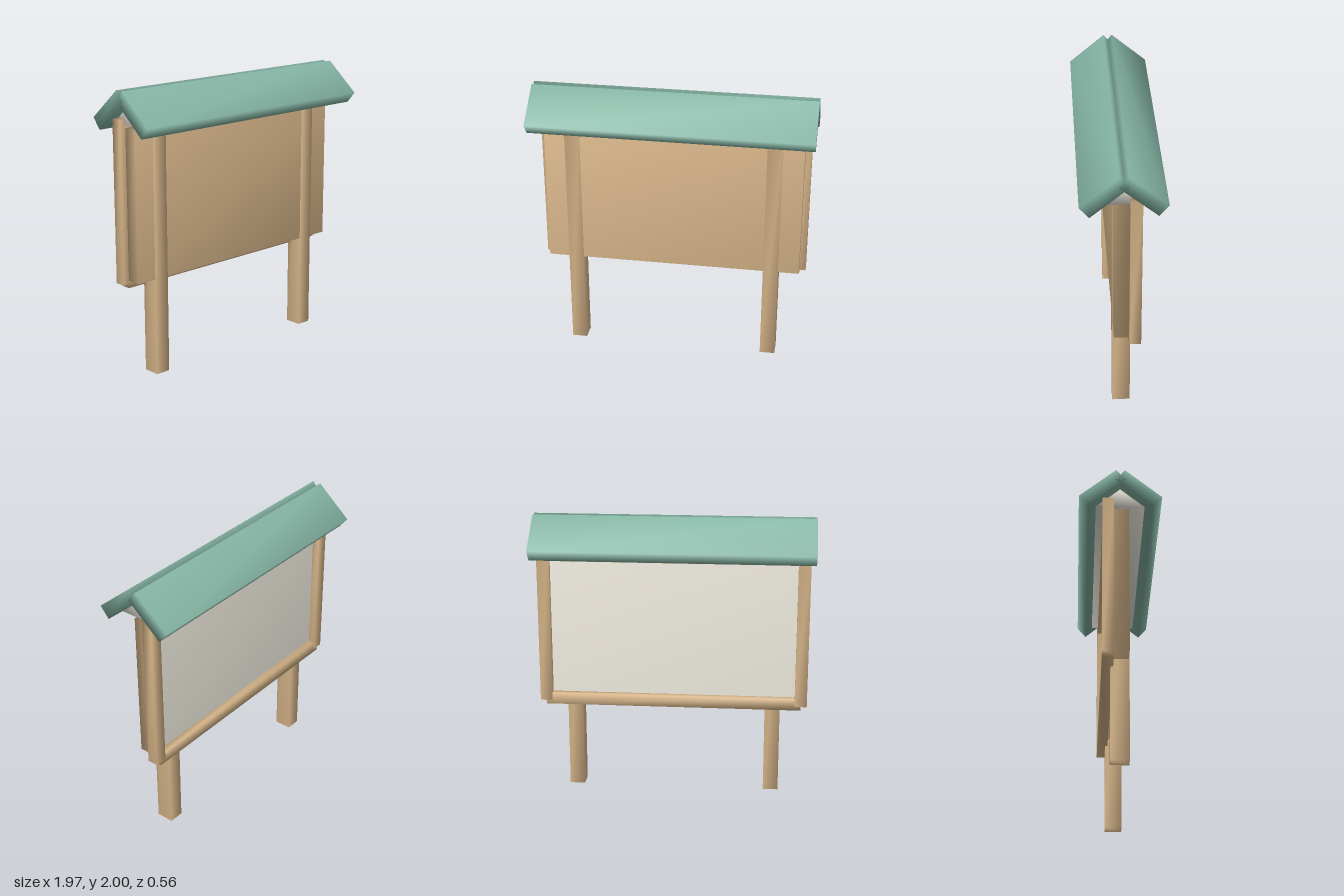
import * as THREE from 'three';
import { mergeVertices } from 'three/addons/utils/BufferGeometryUtils.js';

const wood = new THREE.MeshStandardMaterial({ color: 0xd8b68a });
const green = new THREE.MeshStandardMaterial({ color: 0x86b6a5 });
const pale = new THREE.MeshStandardMaterial({ color: 0xf0ece0 });

// Shares the corners of a geometry so that its shading runs softly over the edges
function soften(geometry) {
  geometry.deleteAttribute('normal');
  geometry.deleteAttribute('uv');
  const merged = mergeVertices(geometry, 1e-4);
  merged.computeVertexNormals();
  return merged;
}

function addPart(parent, name, geometry, material) {
  const mesh = new THREE.Mesh(soften(geometry), material);
  mesh.name = name;
  parent.add(mesh);
  return mesh;
}

// Adds a box given by its min and max corners
function block(parent, name, material, min, max) {
  const size = max.map((v, i) => v - min[i]);
  const mesh = addPart(parent, name, new THREE.BoxGeometry(...size), material);
  mesh.position.set(...max.map((v, i) => (v + min[i]) / 2));
}

export function createModel() {
  const group = new THREE.Group();
  group.name = 'noticeBoard';

  // Backing board, with the pin panel on its rear face
  block(group, 'backingBoard', wood, [-0.91, 0.69, -0.042], [0.91, 1.74, 0.06]);
  block(group, 'pinPanel', pale, [-0.868, 0.72, -0.07], [0.868, 1.69, -0.04]);

  // Frame rails run between the stiles
  block(group, 'bottomRail', wood, [-0.91, 0.638, -0.118], [0.91, 0.72, -0.042]);
  block(group, 'topRail', wood, [-0.91, 1.69, -0.118], [0.91, 1.77, -0.042]);

  for (const side of [-1, 1]) {
    const label = side > 0 ? 'left' : 'right';

    // Square post, standing almost flush with the board
    const postX = side * 0.71;
    block(group, label + 'Post', wood, [postX - 0.054, 0, -0.06], [postX + 0.054, 1.74, 0.064]);

    // Upright frame stile
    const stileX = side * 0.911;
    block(group, label + 'Stile', wood, [stileX - 0.043, 0.665, -0.12], [stileX + 0.043, 1.8, -0.043]);
  }

  // Triangular gable core under the roof
  const triangle = new THREE.Shape();
  triangle.moveTo(-0.17, 1.757);
  triangle.lineTo(0.17, 1.757);
  triangle.lineTo(0, 1.91);
  triangle.closePath();
  const gable = addPart(group, 'gable',
    new THREE.ExtrudeGeometry(triangle, { depth: 1.82, bevelEnabled: false }), pale);
  gable.rotation.y = Math.PI / 2;
  gable.position.x = -0.91;

  // Two sloping roof slabs that cross at the ridge and leave a notch on top
  for (const side of [-1, 1]) {
    const slab = addPart(group, side > 0 ? 'frontRoof' : 'rearRoof',
      new THREE.BoxGeometry(1.974, 0.099, 0.326), green);
    slab.position.set(0, 1.857, side * 0.123);
    slab.rotation.x = side * 0.7;
  }

  return group;
}
